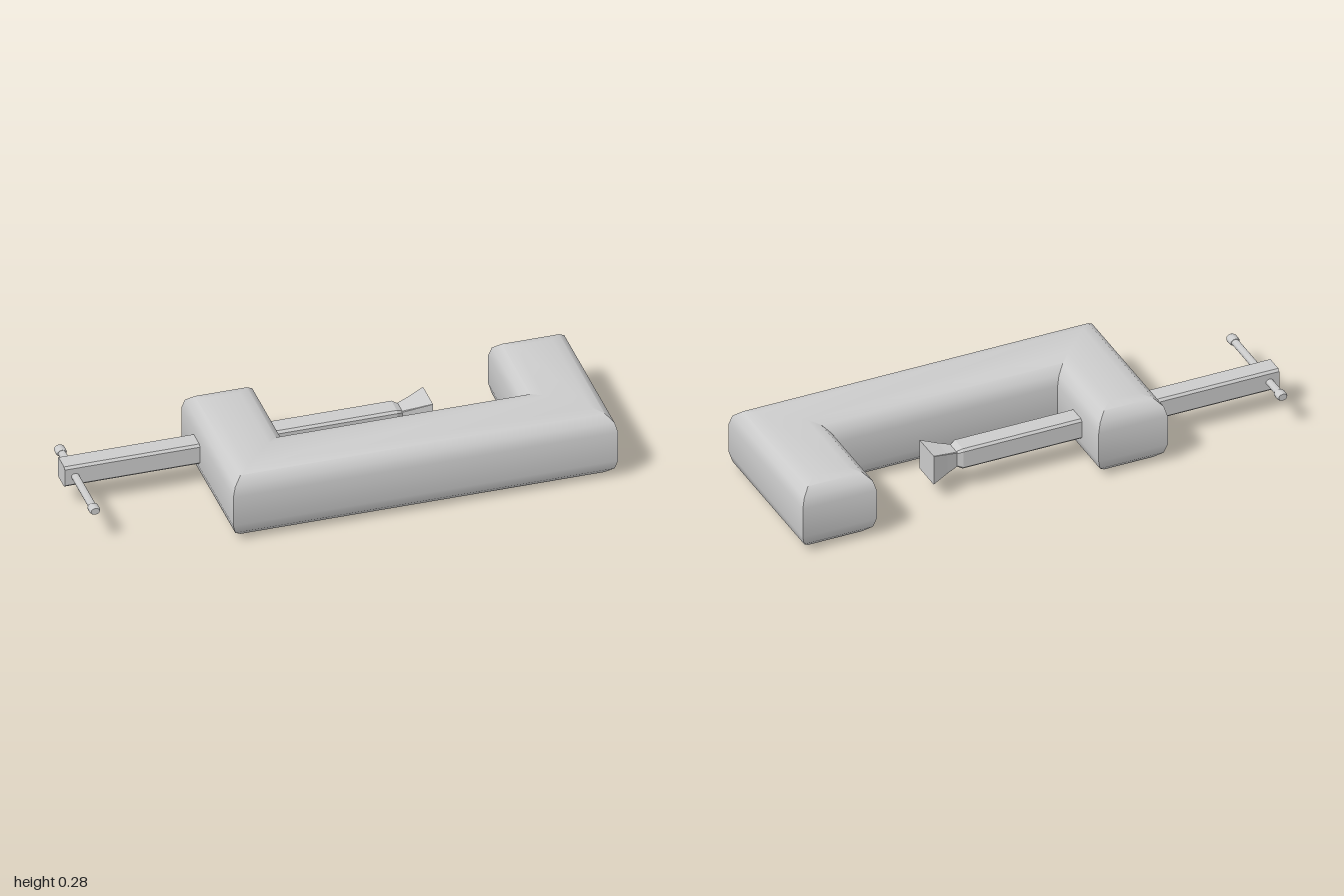
import * as THREE from 'three';
import { toCreasedNormals } from 'three/addons/utils/BufferGeometryUtils.js';

const material = new THREE.MeshStandardMaterial({ color: 0xcccccc });
const flatMaterial = new THREE.MeshStandardMaterial({ color: 0xcccccc, flatShading: true });

function addMesh(parent, name, geometry, mat, x = 0, y = 0, z = 0) {
  const mesh = new THREE.Mesh(geometry, mat);
  mesh.name = name;
  mesh.position.set(x, y, z);
  parent.add(mesh);
  return mesh;
}

// Chamfered-square cross-sections joined along x: each is [x, half width, chamfer]
function squareLoft(sections) {
  const rings = sections.map(([x, h, c]) => {
    const k = h - c;
    return [[h, -k], [h, k], [k, h], [-k, h], [-h, k], [-h, -k], [-k, -h], [k, -h]]
      .map(([y, z]) => [x, y, z]);
  });
  const out = [];
  const tri = (a, b, c) => out.push(...a, ...b, ...c);
  for (let s = 0; s < rings.length - 1; s++) {
    for (let i = 0; i < 8; i++) {
      const j = (i + 1) % 8, a = rings[s], b = rings[s + 1];
      tri(a[i], a[j], b[j]);
      tri(a[i], b[j], b[i]);
    }
  }
  const first = rings[0], last = rings[rings.length - 1];
  for (let i = 1; i < 7; i++) {
    tri(first[0], first[i + 1], first[i]);
    tri(last[0], last[i], last[i + 1]);
  }
  const geometry = new THREE.BufferGeometry();
  geometry.setAttribute('position', new THREE.Float32BufferAttribute(out, 3));
  geometry.computeVertexNormals();
  return geometry;
}

export function createModel() {
  const group = new THREE.Group();
  group.name = 'clamp';

  // U-shaped frame with rounded upper and lower edges and mitred corners
  const outline = [[-0.48, -0.32], [1, -0.32], [1, 0.32], [0.7, 0.32],
    [0.7, -0.035], [-0.2, -0.035], [-0.2, 0.32], [-0.48, 0.32]];
  const frame = new THREE.ExtrudeGeometry(
    new THREE.Shape(outline.map(([x, y]) => new THREE.Vector2(x, y))),
    { depth: 0.123, bevelEnabled: true, bevelThickness: 0.077, bevelSize: 0.08, bevelOffset: -0.08, bevelSegments: 3 });
  frame.rotateX(-Math.PI / 2);
  frame.translate(0, 0.077, 0);
  addMesh(group, 'frame', toCreasedNormals(frame, 0.7), material);

  // Screw bar with narrowed neck, then the flared pressure pad
  const y = 0.134, z = -0.133;
  addMesh(group, 'screwBar', squareLoft([
    [-1, 0.043, 0.009], [0.28, 0.043, 0.009], [0.305, 0.031, 0.006],
  ]), flatMaterial, 0, y, z);
  addMesh(group, 'pressurePad', squareLoft([
    [0.3, 0.032, 0.003], [0.345, 0.043, 0.002], [0.41, 0.062, 0.001],
  ]), flatMaterial, 0, y, z);

  // Sliding handle across the bar, with a knob at each end
  const handle = new THREE.Group();
  handle.name = 'handle';
  handle.position.set(-0.96, y, -0.066);
  group.add(handle);
  const rod = new THREE.CylinderGeometry(0.015, 0.015, 0.4, 12).rotateX(Math.PI / 2);
  addMesh(handle, 'handleRod', toCreasedNormals(rod, 0.7), material).scale.y = 0.8;
  const profile = [[0, -0.02], [0.017, -0.02], [0.021, -0.014], [0.021, 0.012], [0.017, 0.02], [0, 0.02]];
  for (const side of [-1, 1]) {
    const knob = new THREE.LatheGeometry(profile.map(([r, h]) => new THREE.Vector2(r, h)), 12);
    knob.rotateX(Math.PI / 2);
    addMesh(handle, side > 0 ? 'frontKnob' : 'backKnob', toCreasedNormals(knob, 0.6), material, 0, 0, side * 0.206)
      .scale.y = 0.8;
  }
  return group;
}
